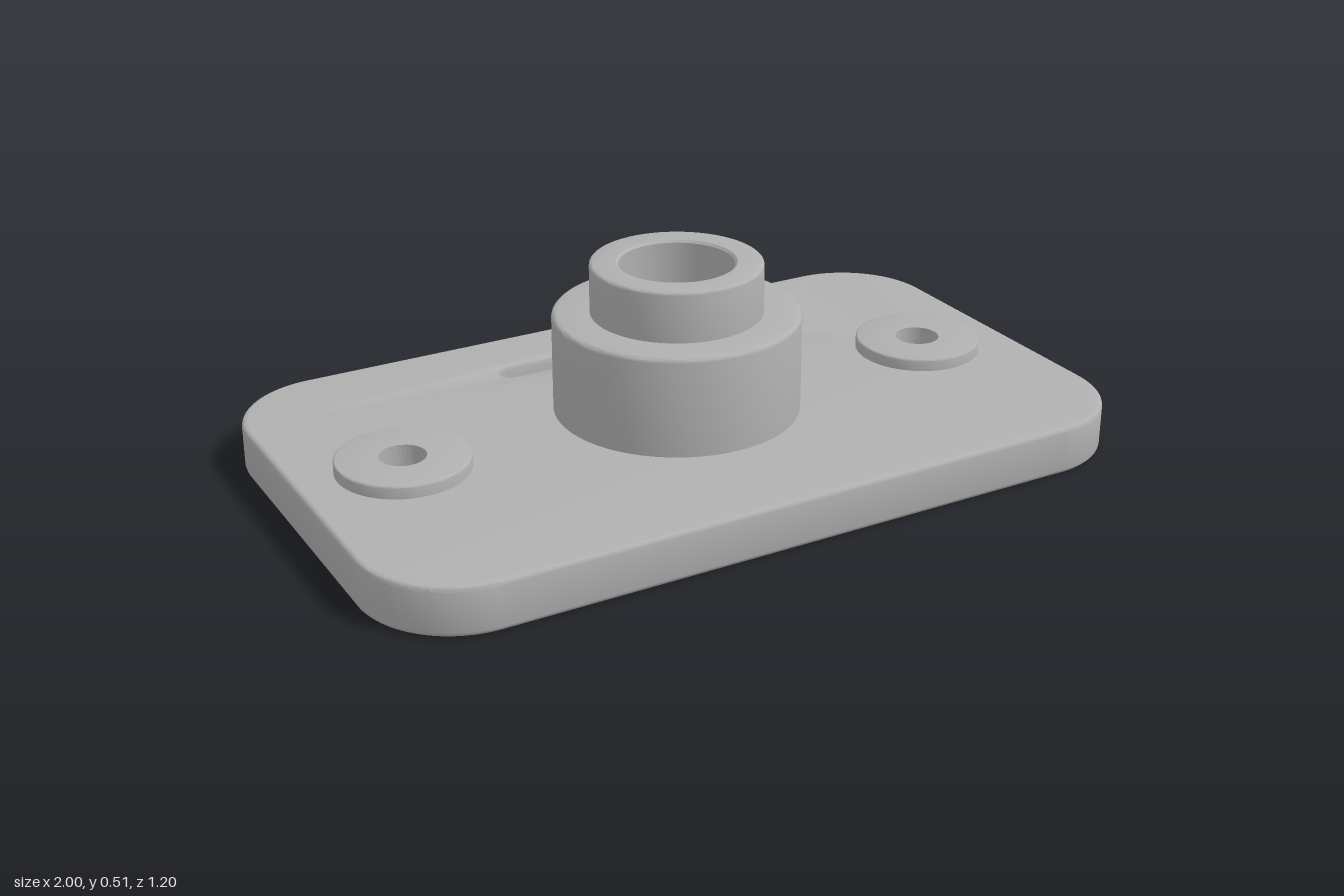
import * as THREE from 'three';
import { toCreasedNormals } from 'three/addons/utils/BufferGeometryUtils.js';

const PLATE_TOP = 0.123, BEVEL = 0.012;
const BORE = 0.143, SCREW = 0.057, PAD_X = 0.738;

// Rounded rectangle outline centred on (cx, cy)
function roundedRect(path, w, h, r, cx = 0, cy = 0) {
  const x = w / 2 - r, y = h / 2 - r;
  path.absarc(cx + x, cy + y, r, 0, Math.PI / 2);
  path.absarc(cx - x, cy + y, r, Math.PI / 2, Math.PI);
  path.absarc(cx - x, cy - y, r, Math.PI, Math.PI * 1.5);
  path.absarc(cx + x, cy - y, r, Math.PI * 1.5, Math.PI * 2);
  path.closePath();
  return path;
}

// Base plate with softened rim, slot and straight round holes
function plateGeometry() {
  const shape = roundedRect(new THREE.Shape(), 2, 1.2, 0.24);
  const rounds = [[0, BORE], [-PAD_X, SCREW], [PAD_X, SCREW]];
  for (const [x, r] of rounds) shape.holes.push(new THREE.Path().absarc(x, 0, r, 0, Math.PI * 2, true));
  shape.holes.push(roundedRect(new THREE.Path(), 0.62, 0.066, 0.0329, 0, 0.388));
  const g = new THREE.ExtrudeGeometry(shape, {
    depth: PLATE_TOP - 2 * BEVEL, curveSegments: 24,
    bevelThickness: BEVEL, bevelSize: BEVEL, bevelOffset: -BEVEL, bevelSegments: 3,
  });
  // Snap the round hole edges back to plain cylinders
  const p = g.attributes.position;
  for (let i = 0; i < p.count; i++) {
    for (const [x, r] of rounds) {
      const d = Math.hypot(p.getX(i) - x, p.getY(i));
      if (d < r + 0.03) p.setXY(i, x + (p.getX(i) - x) * r / d, p.getY(i) * r / d);
    }
  }
  g.translate(0, 0, BEVEL).rotateX(-Math.PI / 2);
  return toCreasedNormals(g, 0.6);
}

// Rounded outer top edge of a turned part
function fillet(r, y, f) {
  return [0, 1, 2, 3].map(i => {
    const a = i * Math.PI / 6;
    return [r - f + f * Math.cos(a), y - f + f * Math.sin(a)];
  });
}

function turned(profile) {
  const g = new THREE.LatheGeometry(profile.map(([x, y]) => new THREE.Vector2(x, y)), 64);
  return toCreasedNormals(g, 0.6);
}

export function createModel() {
  const steel = new THREE.MeshStandardMaterial({ color: 0xb0b0b0 });
  steel.name = 'grey metal';
  const group = new THREE.Group();
  group.name = 'flangedBushing';
  const add = (name, geometry, x = 0) => {
    const mesh = new THREE.Mesh(geometry, steel);
    mesh.name = name;
    mesh.position.x = x;
    group.add(mesh);
  };

  add('basePlate', plateGeometry());

  // Stepped hub with collar and through bore
  add('steppedHub', turned([
    [0.31, PLATE_TOP - 0.01], ...fillet(0.31, 0.377, 0.012),
    [0.215, 0.377], ...fillet(0.215, 0.506, 0.008),
    [BORE + 0.006, 0.506], [BORE, 0.5], [BORE, PLATE_TOP],
  ]));

  // Raised screw pads on both sides
  const pad = turned([
    [0.163, PLATE_TOP - 0.01], ...fillet(0.163, 0.155, 0.005),
    [SCREW, 0.155], [SCREW, PLATE_TOP],
  ]);
  add('leftScrewPad', pad, PAD_X);
  add('rightScrewPad', pad, -PAD_X);
  return group;
}
